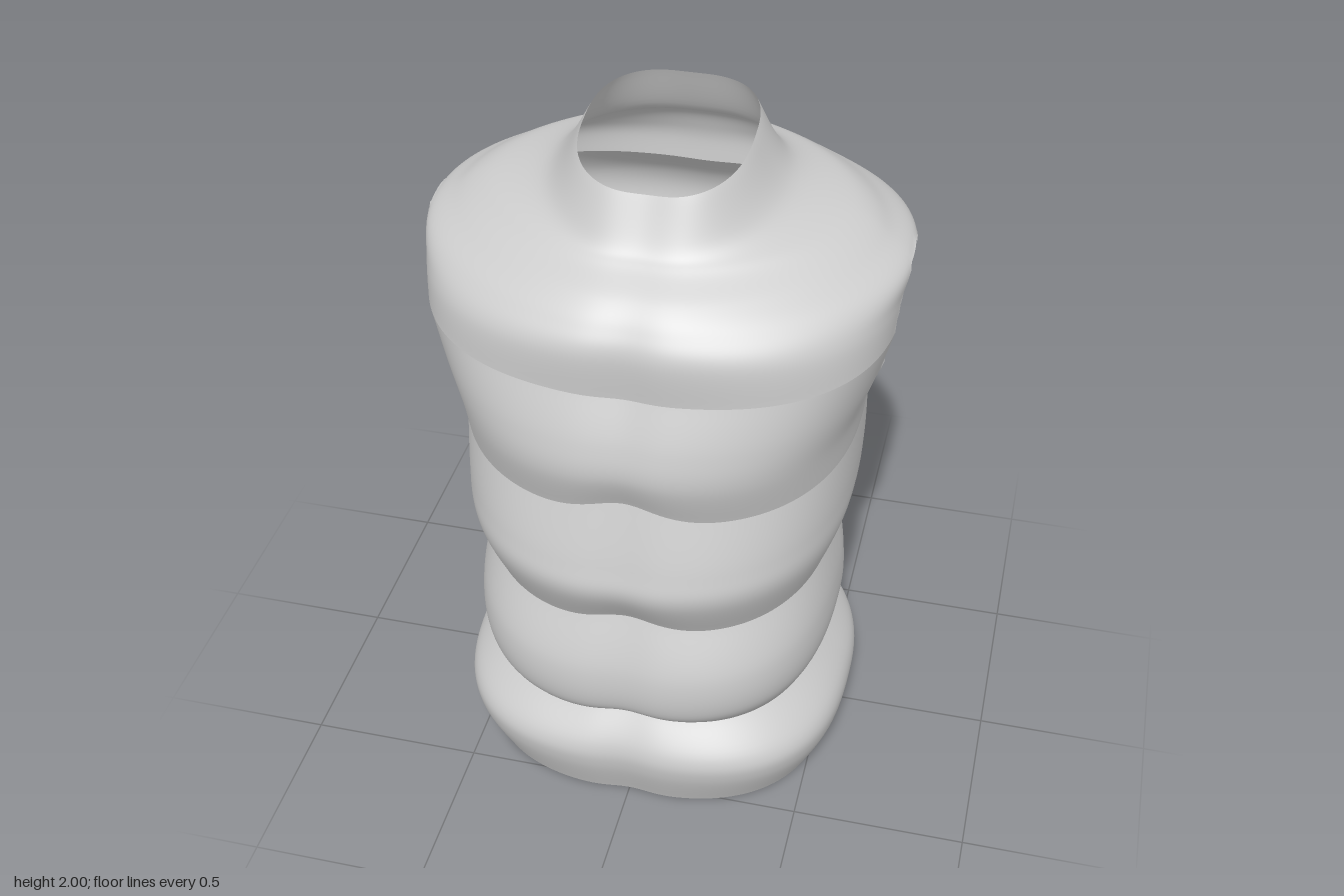
import * as THREE from 'three';

const SEGMENTS = 200;
const ROWS = 8;

// Each tier is a stack of key rings, from one stitched seam to the next:
// [front y, front z, side y, side x, back y, back z, lift at front centre,
//  front fullness, back fullness]
const hemTop = [0.30, 0.52, 0.33, 0.485, 0.33, -0.46, 0.025, 2.5, 1.85];
const waist = [0.68, 0.54, 0.745, 0.505, 0.77, -0.51, 0.03, 2.45, 1.88];
const ribs = [1.085, 0.55, 1.155, 0.56, 1.19, -0.54, 0.04, 2.4, 2.3];
const chest = [1.46, 0.53, 1.53, 0.648, 1.6, -0.485, -0.005, 2.5, 3.1];
const TIERS = {
  hem: [
    [0, 0.535, 0, 0.53, 0, -0.5, 0, 2.65, 2.3],
    [0.13, 0.582, 0.13, 0.577, 0.13, -0.54, 0, 2.75, 2.2],
    [0.21, 0.582, 0.225, 0.572, 0.225, -0.53, 0.01, 2.7, 2.15],
    hemTop],
  lowerTier: [
    hemTop,
    [0.39, 0.59, 0.47, 0.53, 0.48, -0.56, 0.005, 2.55, 1.78],
    [0.53, 0.597, 0.6, 0.53, 0.63, -0.56, 0.005, 2.55, 1.78],
    waist],
  middleTier: [
    waist,
    [0.83, 0.612, 0.88, 0.55, 0.91, -0.6, 0.005, 2.4, 2.0],
    [0.93, 0.602, 1.0, 0.56, 1.05, -0.61, 0.005, 2.4, 2.2],
    ribs],
  chestTier: [
    ribs,
    [1.22, 0.59, 1.27, 0.575, 1.37, -0.61, 0.01, 2.4, 2.5],
    [1.33, 0.578, 1.40, 0.615, 1.49, -0.592, 0, 2.4, 2.75],
    chest],
  yokeAndCollar: [
    chest,
    [1.58, 0.535, 1.61, 0.655, 1.67, -0.487, 0, 2.25, 2.7],
    [1.65, 0.505, 1.68, 0.662, 1.72, -0.475, 0, 1.92, 2.2],
    [1.705, 0.455, 1.73, 0.595, 1.77, -0.45, 0, 1.78, 1.92],
    [1.755, 0.375, 1.78, 0.51, 1.81, -0.405, 0, 1.78, 1.85],
    [1.795, 0.332, 1.84, 0.325, 1.855, -0.325, 0, 2.15, 2.15],
    [1.92, 0.268, 1.975, 0.228, 2.0, -0.253, -0.012, 2.6, 2.6]],
};

// Armhole outline as [z, y], relative to its centre
const HOLE_Z = -0.07, HOLE_Y = 1.49;
const HOLE = [
  [0.05, 1.68], [-0.04, 1.69], [-0.17, 1.66], [-0.29, 1.48], [-0.29, 1.41], [-0.22, 1.33],
  [-0.07, 1.28], [0.09, 1.33], [0.12, 1.38], [0.145, 1.53], [0.11, 1.63],
].map(([z, y]) => ({ z: z - HOLE_Z, y: y - HOLE_Y }));

// Distance from the armhole centre to its edge in a given direction
function holeRadius(dz, dy) {
  for (let i = 0; i < HOLE.length; i++) {
    const a = HOLE[i], b = HOLE[(i + 1) % HOLE.length];
    const ez = b.z - a.z, ey = b.y - a.y;
    const det = dz * ey - dy * ez;
    if (Math.abs(det) < 1e-9) continue;
    const r = (a.z * ey - a.y * ez) / det;
    const s = (a.z * dy - a.y * dz) / det;
    if (r > 0 && s >= -1e-6 && s <= 1 + 1e-6) return r;
  }
  return 0;
}

// Smooth ring parameters between the keys of a tier
function ringAt(keys, t) {
  const f = t * (keys.length - 1);
  const i = Math.min(Math.floor(f), keys.length - 2), u = f - i;
  const key = (k) => keys[THREE.MathUtils.clamp(k, 0, keys.length - 1)];
  return keys[i].map((p1, c) => {
    const p0 = key(i - 1)[c], p2 = key(i + 1)[c], p3 = key(i + 2)[c];
    return p1 + 0.5 * u * (p2 - p0 + u * (2 * p0 - 5 * p1 + 4 * p2 - p3 + u * (3 * (p1 - p2) + p3 - p0)));
  });
}

// One point on a rounded cross-section, grooved along the front and the spine
function bodyPoint([yF, zF, yS, xS, yB, zB, lift, nF, nB], angle) {
  const c = Math.cos(angle), s = Math.sin(angle);
  const n = s > 0 ? nF : nB;
  const r = 1 / Math.pow(Math.abs(c) ** n + Math.abs(s) ** n, 1 / n);
  const x = xS * r * c, w = r * s;
  const groove = Math.exp(-((x / 0.08) ** 2));
  let z = (zF + zB) / 2 + w * (zF - zB) / 2;
  let y = yS + w * (yF - yB) / 2 + w * w * ((yF + yB) / 2 - yS);
  if (s > 0) {
    y += lift * Math.exp(-((x / 0.14) ** 2));
    z -= 0.014 * groove;
  } else {
    z += 0.006 * groove;
  }
  return [x, y, z];
}

function buildTier(keys, material) {
  const rows = (keys.length - 1) * ROWS;
  const positions = [], inside = [], index = [];
  for (let i = 0; i <= rows; i++) {
    const ring = ringAt(keys, i / rows);
    for (let j = 0; j < SEGMENTS; j++) {
      let [x, y, z] = bodyPoint(ring, (j / SEGMENTS) * Math.PI * 2);
      const dz = z - HOLE_Z, dy = y - HOLE_Y, d = Math.hypot(dz, dy);
      const edge = Math.abs(x) > 0.4 && d < 0.4 ? holeRadius(dz / d, dy / d) : 0;
      // vertices inside an armhole slide out to its edge
      if (d < edge) {
        z = HOLE_Z + dz / d * edge;
        y = HOLE_Y + dy / d * edge;
      }
      inside.push(d < edge);
      positions.push(x, y, z);
    }
  }
  const addFace = (a, b, c) => {
    if (!(inside[a] && inside[b] && inside[c])) index.push(a, b, c);
  };
  for (let i = 0; i < rows; i++) {
    for (let j = 0; j < SEGMENTS; j++) {
      const a = i * SEGMENTS + j, b = i * SEGMENTS + (j + 1) % SEGMENTS;
      addFace(a, a + SEGMENTS, b);
      addFace(b, a + SEGMENTS, b + SEGMENTS);
    }
  }
  const geometry = new THREE.BufferGeometry();
  geometry.setAttribute('position', new THREE.Float32BufferAttribute(positions, 3));
  geometry.setIndex(index);
  geometry.computeVertexNormals();
  return new THREE.Mesh(geometry, material);
}

export function createModel() {
  const group = new THREE.Group();
  group.name = 'paddedVest';
  const material = new THREE.MeshStandardMaterial({ color: 0xcccccc, side: THREE.DoubleSide });
  // separate tiers keep the stitched seams sharp
  for (const [name, keys] of Object.entries(TIERS)) {
    const tier = buildTier(keys, material);
    tier.name = name;
    group.add(tier);
  }
  return group;
}
